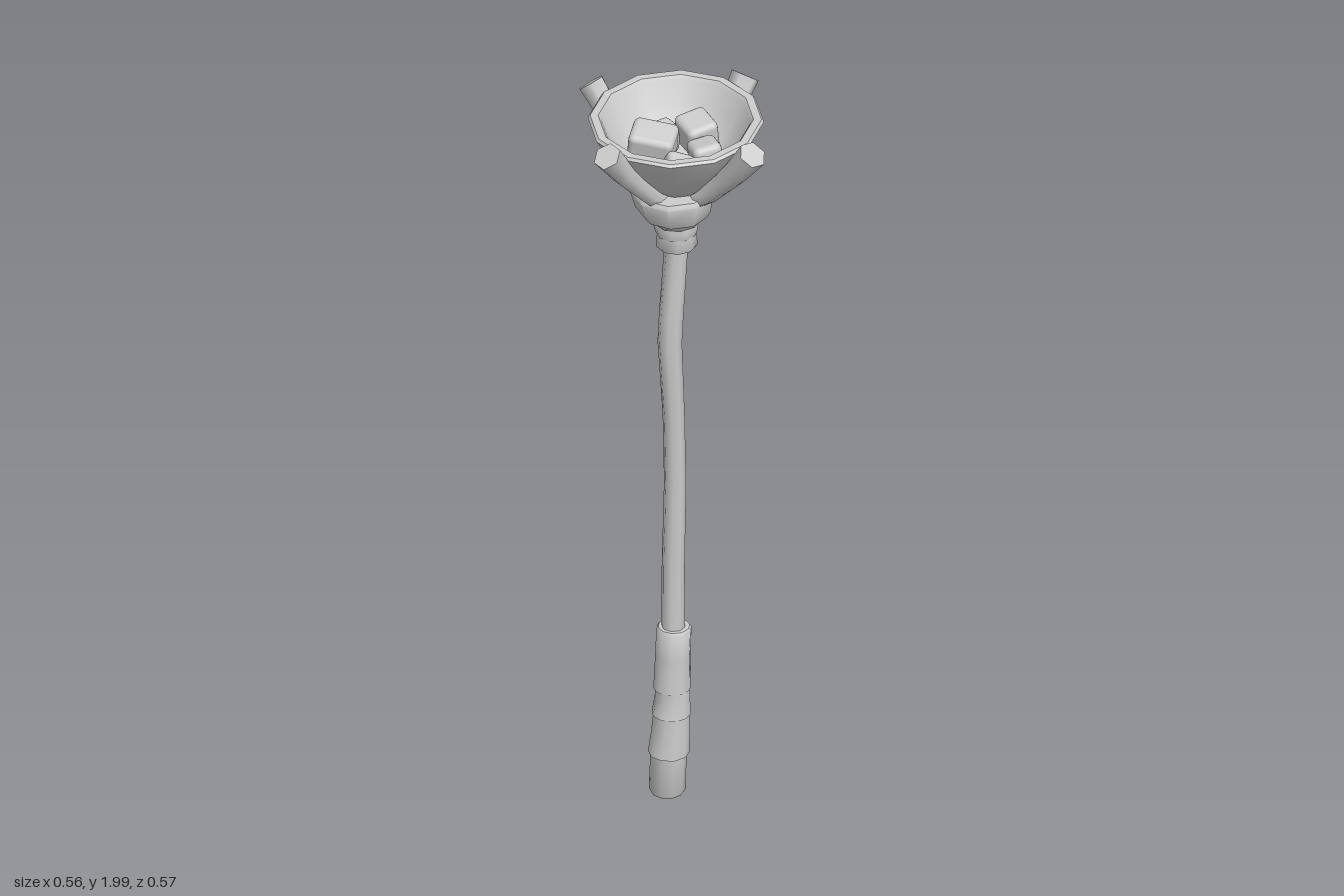
import * as THREE from 'three';
import { toCreasedNormals } from 'three/addons/utils/BufferGeometryUtils.js';
import { RoundedBoxGeometry } from 'three/addons/geometries/RoundedBoxGeometry.js';

const UP = new THREE.Vector3(0, 1, 0);

// Closed skin over rings [x, y, z, radius]; rings lie level or follow the path
function loft(rings, sides, { phase = 0, level = true, crease = 0.9 } = {}) {
  const centres = rings.map(([x, y, z]) => new THREE.Vector3(x, y, z));
  const pos = [], index = [], last = rings.length - 1;
  centres.forEach((c, i) => {
    const q = new THREE.Quaternion();
    if (!level) {
      const dir = centres[Math.min(i + 1, last)].clone().sub(centres[Math.max(i - 1, 0)]).normalize();
      q.setFromUnitVectors(UP, dir);
    }
    for (let j = 0; j < sides; j++) {
      const a = phase + (j / sides) * Math.PI * 2;
      const p = new THREE.Vector3(Math.cos(a), 0, Math.sin(a)).multiplyScalar(rings[i][3]);
      pos.push(...p.applyQuaternion(q).add(c).toArray());
    }
  });
  pos.push(...centres[0].toArray(), ...centres[last].toArray());
  const bottom = rings.length * sides, top = bottom + 1;
  for (let j = 0; j < sides; j++) {
    const k = (j + 1) % sides;
    for (let i = 0; i < last; i++) {
      const a = i * sides + j, b = i * sides + k;
      index.push(a, a + sides, b, b, a + sides, b + sides);
    }
    index.push(bottom, j, k, top, last * sides + k, last * sides + j);
  }
  const g = new THREE.BufferGeometry();
  g.setAttribute('position', new THREE.Float32BufferAttribute(pos, 3));
  g.setIndex(index);
  return toCreasedNormals(g, crease);
}

export function createModel() {
  const model = new THREE.Group();
  model.name = 'torch';
  const grey = new THREE.MeshStandardMaterial({ color: 0xcccccc });
  grey.name = 'plain grey';
  const add = (name, geometry, parent = model) => {
    const mesh = new THREE.Mesh(geometry, grey);
    mesh.name = name;
    parent.add(mesh);
    return mesh;
  };

  // Slightly crooked wooden shaft
  add('shaft', loft([
    [0.002, 0.4, -0.024, 0.03], [0, 0.65, -0.022, 0.029], [0.003, 0.9, -0.018, 0.028],
    [-0.004, 1.1, -0.014, 0.028], [-0.02, 1.32, -0.008, 0.031], [-0.017, 1.4, -0.006, 0.031],
    [-0.003, 1.62, -0.002, 0.03],
  ], 8));

  // Overlapping wraps of the grip, from the butt up
  add('butt', loft([
    [-0.013, 0.005, -0.029, 0.042], [-0.013, 0.012, -0.029, 0.046], [-0.01, 0.14, -0.027, 0.045],
  ], 10));
  const wraps = [
    [[-0.009, 0.118, -0.028, 0.052], [-0.006, 0.18, -0.025, 0.048], [-0.004, 0.24, -0.023, 0.045]],
    [[-0.004, 0.232, -0.024, 0.05], [-0.001, 0.275, -0.024, 0.045], [-0.001, 0.315, -0.024, 0.045]],
    [[-0.001, 0.305, -0.025, 0.048], [0.001, 0.4, -0.025, 0.045], [0.003, 0.474, -0.023, 0.045],
      [0.003, 0.481, -0.023, 0.04]],
  ];
  wraps.forEach((rings, i) => add('gripWrap' + (i + 1), loft(rings, 10, { phase: i * 0.2 })));

  // Bands and flared collar below the bowl
  const bands = [
    [[-0.004, 1.6, -0.002, 0.05], [-0.004, 1.605, -0.002, 0.053], [-0.004, 1.645, -0.002, 0.05]],
    [[-0.005, 1.638, -0.002, 0.052], [-0.005, 1.66, -0.002, 0.058], [-0.005, 1.69, -0.002, 0.052]],
    [[-0.005, 1.672, -0.002, 0.058], [-0.007, 1.69, -0.003, 0.073], [-0.009, 1.715, -0.004, 0.09]],
    [[-0.008, 1.695, -0.003, 0.084], [-0.011, 1.715, -0.004, 0.096], [-0.014, 1.76, -0.005, 0.106],
      [-0.014, 1.772, -0.005, 0.1]],
  ];
  bands.forEach((rings, i) => add('collarBand' + (i + 1), loft(rings, 9, { phase: i * 0.3 })));

  // Faceted bowl: up the outside, over the rim and down the inside
  const bowlProfile = [
    [0.05, -0.02], [0.1, 0.025], [0.15, 0.085], [0.192, 0.14], [0.22, 0.186],
    [0.214, 0.193], [0.194, 0.193], [0.187, 0.184], [0.165, 0.135], [0.12, 0.085], [0.06, 0.05],
  ];
  const bowl = add('bowl', loft(bowlProfile.map(([r, y]) => [0, y, 0, r]), 12, { phase: 0.147, crease: 0.75 }));
  bowl.position.set(0.008, 1.77, -0.018);
  bowl.rotation.set(0.03, 0, 0.035);

  // Four prongs curving up around the bowl; [tip x, tip z]
  const tips = [[0.045, 0.26], [0.25, -0.068], [-0.086, -0.258], [-0.257, 0.06]];
  const prongProfile = [
    [0.2, 1.75, 0.024], [0.4, 1.79, 0.025], [0.6, 1.845, 0.027], [0.77, 1.895, 0.031], [1, 1.973, 0.037],
  ];
  tips.forEach(([x, z], i) => {
    const rings = prongProfile.map(([f, y, r]) => [x * f, y, z * f, r]);
    add('prong' + (i + 1), loft(rings, 6, { phase: i * 0.5, level: false, crease: 1.15 }));
  });

  // Lumps of coal: position, size, rotation
  const coals = [
    [[-0.056, 1.9, -0.03], [0.09, 0.085, 0.115], [0.15, 0.75, 0.1]],
    [[0.016, 1.865, -0.085], [0.066, 0.075, 0.07], [0.2, 0.15, -0.1]],
    [[0.078, 1.885, -0.03], [0.085, 0.085, 0.092], [0.1, -0.12, 0.15]],
    [[0.043, 1.87, 0.06], [0.075, 0.085, 0.08], [-0.15, -0.3, 0.1]],
    [[-0.047, 1.86, 0.063], [0.075, 0.08, 0.07], [0.3, -0.45, -0.3]],
  ];
  const pile = new THREE.Group();
  pile.name = 'coals';
  model.add(pile);
  coals.forEach(([p, s, r], i) => {
    const lump = add('coal' + (i + 1), new RoundedBoxGeometry(...s, 2, 0.016), pile);
    lump.position.set(...p);
    lump.rotation.set(...r);
  });

  return model;
}
